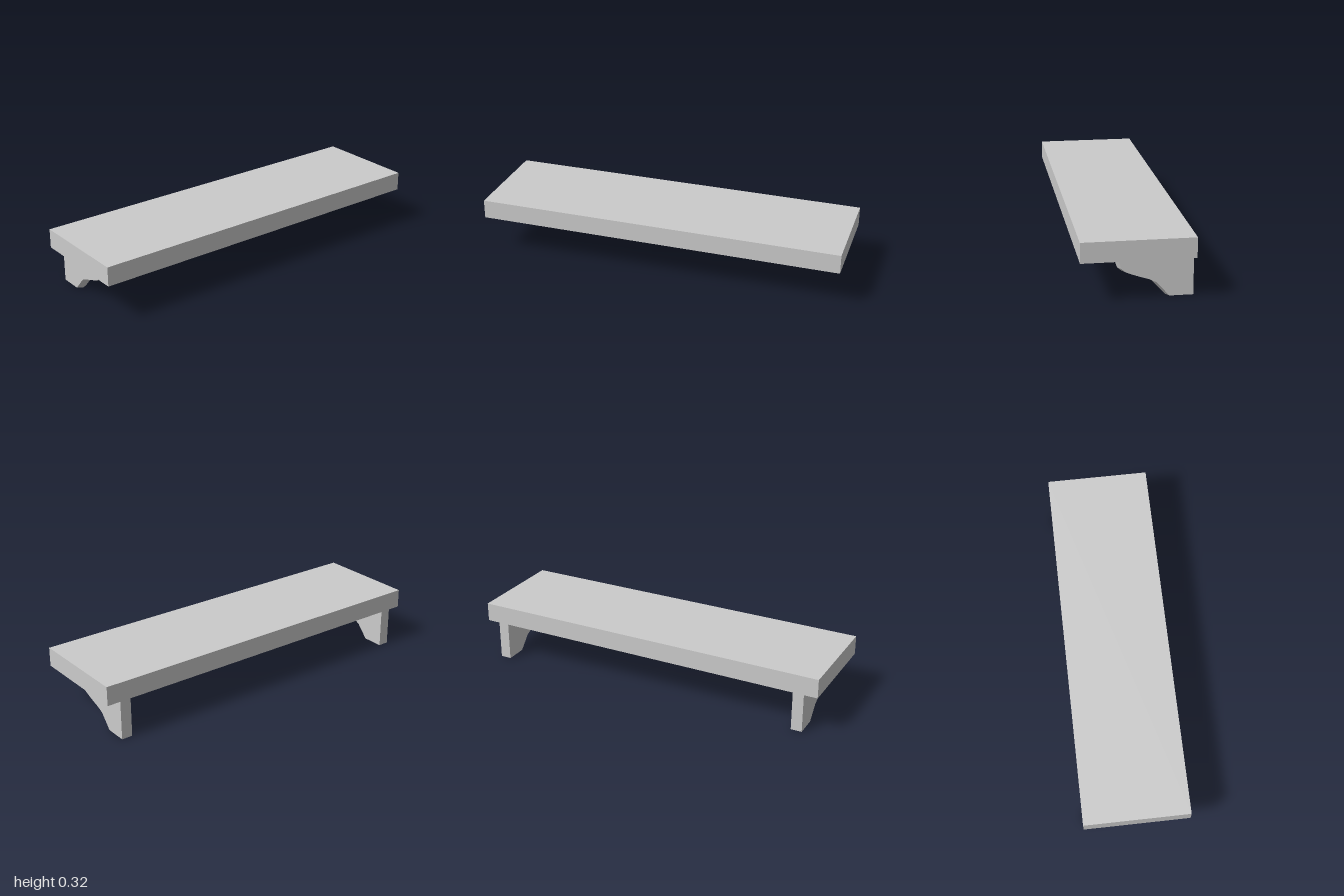
import * as THREE from 'three';

const material = new THREE.MeshStandardMaterial({ color: 0xcccccc, flatShading: true });
const DEPTH = 0.563, UNDERSIDE = 0.213, TOP = 0.317;
const BACK = -DEPTH / 2, POST_FRONT = -0.185, WIDTH = 0.06, RIDGE = 0.018;

function box(name, w, h, d, x, y, z) {
  const mesh = new THREE.Mesh(new THREE.BoxGeometry(w, h, d), material);
  mesh.name = name;
  mesh.position.set(x, y, z);
  return mesh;
}

// Curved corbel: side profile (z, y) extruded across x, its front edge raised to a central ridge
function corbelGeometry() {
  const profile = [
    [POST_FRONT, UNDERSIDE], [POST_FRONT, 0], [-0.145, 0], [-0.08, 0.073], [-0.045, 0.09],
    [-0.007, 0.102], [0.03, 0.115], [0.07, 0.131], [0.09, 0.148], [0.113, UNDERSIDE],
  ];
  const shape = new THREE.Shape(profile.map(([z, y]) => new THREE.Vector2(z, y)));
  const geometry = new THREE.ExtrudeGeometry(shape, { depth: WIDTH, steps: 2, bevelEnabled: false });
  geometry.translate(0, 0, -WIDTH / 2).rotateY(-Math.PI / 2);
  const p = geometry.attributes.position;
  for (let i = 0; i < p.count; i++) {
    const onSide = Math.abs(p.getX(i)) > WIDTH / 4;
    if (onSide && p.getZ(i) > POST_FRONT + 0.001) p.setZ(i, p.getZ(i) - RIDGE);
  }
  geometry.computeVertexNormals();
  return geometry;
}

export function createModel() {
  const model = new THREE.Group();
  model.name = 'wallShelf';

  // Thick shelf board
  model.add(box('shelfBoard', 2, TOP - UNDERSIDE, DEPTH, 0, (TOP + UNDERSIDE) / 2, 0));

  // A bracket near each end: back post plus corbel
  const corbel = corbelGeometry();
  for (const [name, x] of [['leftBracket', 0.897], ['rightBracket', -0.897]]) {
    const bracket = new THREE.Group();
    bracket.name = name;
    bracket.position.x = x;
    bracket.add(box('backPost', WIDTH, UNDERSIDE, POST_FRONT - BACK, 0, UNDERSIDE / 2, (POST_FRONT + BACK) / 2));
    const arm = new THREE.Mesh(corbel, material);
    arm.name = 'corbel';
    bracket.add(arm);
    model.add(bracket);
  }
  return model;
}
